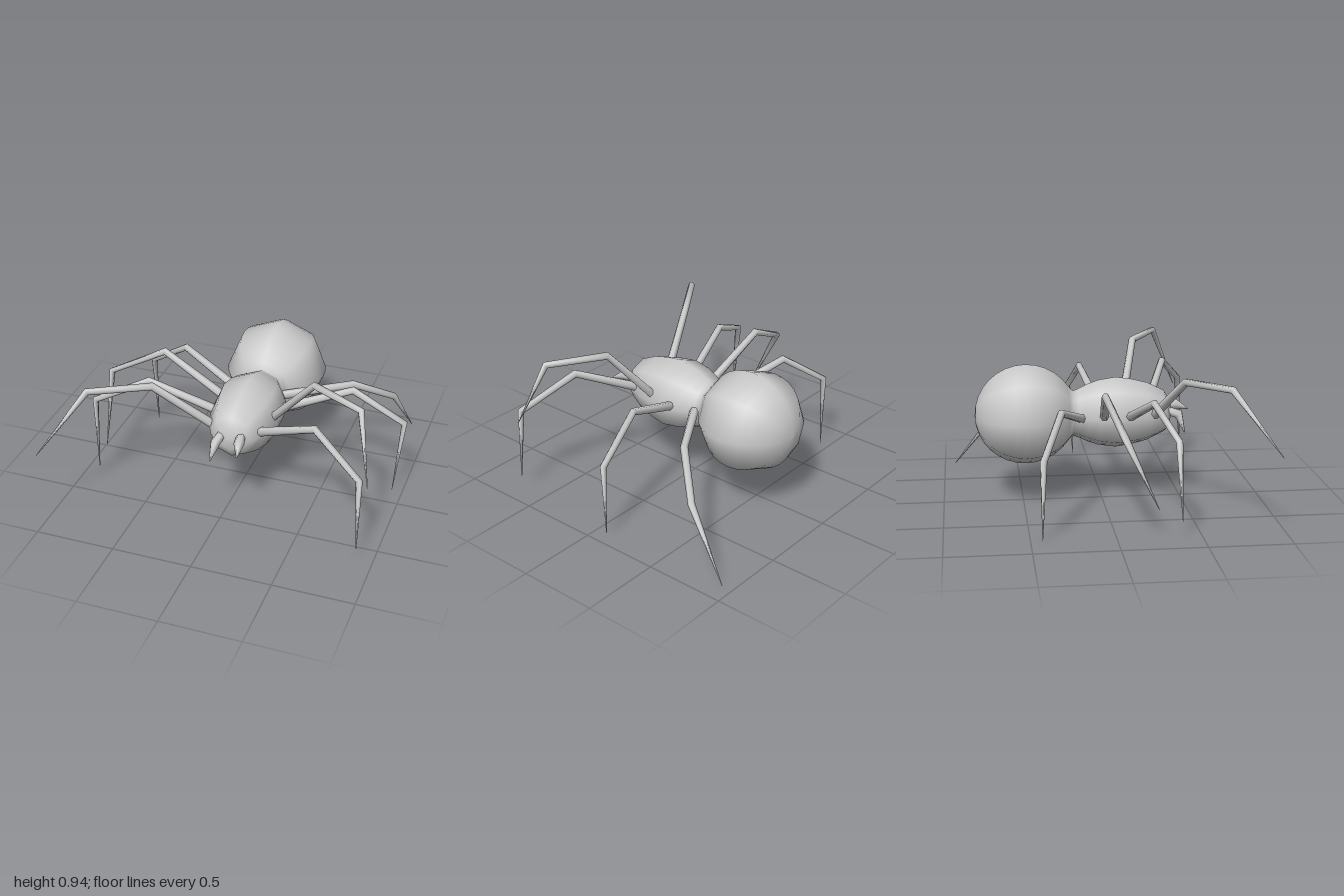
import * as THREE from 'three';

const material = new THREE.MeshStandardMaterial({ color: 0xcccccc });

// Tapered limb: one ring per joint, mitred between neighbouring segments, with end caps.
function limb(name, joints, radii, sides = 6) {
  const pts = joints.map((p) => new THREE.Vector3(...p));
  const last = pts.length - 1;
  const pos = [];
  const index = [];
  const up = new THREE.Vector3(0, 1, 0);
  const first = pts[1].clone().sub(pts[0]).normalize();
  const side = new THREE.Vector3().crossVectors(up, first).normalize();
  pts.forEach((p, i) => {
    const dIn = p.clone().sub(pts[Math.max(i - 1, 0)]).normalize();
    const dOut = pts[Math.min(i + 1, last)].clone().sub(p).normalize();
    const dir = dIn.add(dOut).normalize();
    const u = side.clone().addScaledVector(dir, -side.dot(dir)).normalize();
    const v = new THREE.Vector3().crossVectors(dir, u);
    for (let k = 0; k < sides; k++) {
      const a = (k / sides) * Math.PI * 2;
      const q = p.clone()
        .addScaledVector(u, Math.cos(a) * radii[i])
        .addScaledVector(v, Math.sin(a) * radii[i]);
      pos.push(q.x, q.y, q.z);
    }
  });
  for (let i = 0; i < last; i++) {
    for (let k = 0; k < sides; k++) {
      const a = i * sides + k;
      const b = i * sides + ((k + 1) % sides);
      index.push(a, b, b + sides, a, b + sides, a + sides);
    }
  }
  for (let k = 1; k < sides - 1; k++) {
    index.push(0, k + 1, k);
    index.push(last * sides, last * sides + k, last * sides + k + 1);
  }
  const geo = new THREE.BufferGeometry();
  geo.setAttribute('position', new THREE.Float32BufferAttribute(pos, 3));
  geo.setIndex(index);
  geo.computeVertexNormals();
  const mesh = new THREE.Mesh(geo, material);
  mesh.name = name;
  return mesh;
}

// Abdomen and head in one eight-sided lathe running from back to front.
function body() {
  const profile = [];
  for (let i = 0; i <= 13; i++) {
    const a = (i / 16) * Math.PI;
    profile.push(new THREE.Vector2(0.32 * Math.sin(a), -0.475 - 0.32 * Math.cos(a)));
  }
  const head = [
    [0.145, -0.18], [0.155, -0.15], [0.185, -0.09], [0.21, -0.02], [0.227, 0.09],
    [0.213, 0.19], [0.188, 0.29], [0.135, 0.4], [0.07, 0.435], [0, 0.44],
  ];
  head.forEach(([r, z]) => profile.push(new THREE.Vector2(r, z)));
  const geo = new THREE.LatheGeometry(profile, 8);
  geo.rotateX(Math.PI / 2);
  geo.translate(0.043, 0.575, 0);
  const mesh = new THREE.Mesh(geo, material);
  mesh.name = 'body';
  return mesh;
}

export function createModel() {
  const group = new THREE.Group();
  group.name = 'spider';
  group.add(body());

  // Legs: hip, first knee, second knee, tip; each is posed differently.
  const legs = {
    leftLeg1: [[0.16, 0.58, 0.31], [0.58, 0.79, 0.47], [0.895, 0.605, 0.63], [0.905, 0.14, 0.655]],
    leftLeg2: [[0.19, 0.57, 0.15], [0.51, 0.95, 0.26], [0.84, 0.955, 0.445], [0.94, 0.55, 0.61]],
    leftLeg3: [[0.19, 0.57, 0.01], [0.66, 0.75, -0.08], [0.98, 0.545, -0.135], [0.94, 0.06, -0.1]],
    leftLeg4: [[0.16, 0.58, -0.13], [0.58, 0.595, -0.4], [0.8, 0.41, -0.64], [0.88, 0.03, -0.93]],
    rightLeg1: [[-0.09, 0.57, 0.31], [-0.44, 0.865, 0.455], [-0.765, 0.885, 0.67], [-1, 0.54, 0.92]],
    rightLeg2: [[-0.11, 0.57, 0.15], [-0.55, 0.765, 0.25], [-0.875, 0.62, 0.345], [-0.865, 0.14, 0.375]],
    rightLeg3: [[-0.11, 0.57, 0.005], [-0.56, 0.815, -0.04], [-0.9, 0.65, 0.035], [-0.872, 0.22, 0.235]],
    rightLeg4: [[-0.09, 0.57, -0.13], [-0.52, 0.715, -0.295], [-0.805, 0.505, -0.42], [-0.795, 0.03, -0.43]],
  };
  for (const [name, joints] of Object.entries(legs)) {
    group.add(limb(name, joints, [0.029, 0.024, 0.022, 0.002]));
  }

  // Fangs
  const fangRadii = [0.026, 0.033, 0.004];
  group.add(limb('leftFang', [[0.1, 0.6, 0.38], [0.122, 0.6, 0.49], [0.137, 0.56, 0.575]], fangRadii));
  group.add(limb('rightFang', [[-0.01, 0.6, 0.38], [-0.03, 0.57, 0.485], [-0.055, 0.455, 0.52]], fangRadii));
  return group;
}
